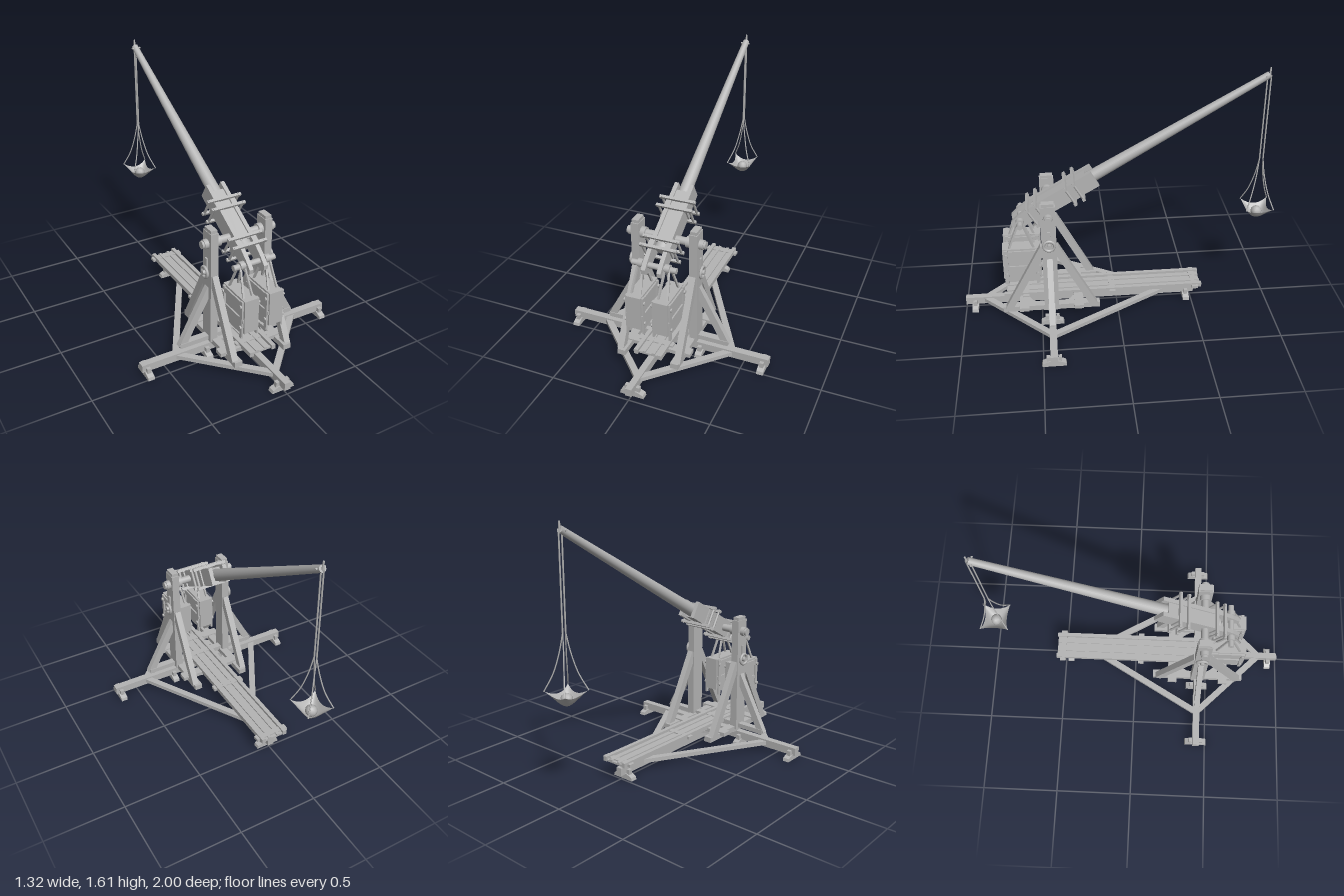
import * as THREE from 'three';

const timber = new THREE.MeshStandardMaterial({ color: 0xb4b4b4 });
timber.name = 'grey';
timber.side = THREE.DoubleSide;
const V = (x, y, z) => new THREE.Vector3(x, y, z);
const CZ = 0.435; // z of the posts and pivot
const SIDES = [-1, 1];

export function createModel() {
  const root = new THREE.Group();
  root.name = 'trebuchet';

  const add = (name, geo, x = 0, y = 0, z = 0, parent = root) => {
    const m = new THREE.Mesh(geo, timber);
    m.name = name;
    m.position.set(x, y, z);
    parent.add(m);
    return m;
  };
  const box = (name, w, h, d, x, y, z, parent) =>
    add(name, new THREE.BoxGeometry(w, h, d), x, y, z, parent);
  // Square beam between two points
  const beam = (name, a, b, w, h) => {
    const c = a.clone().add(b).multiplyScalar(0.5);
    const m = box(name, w, h, a.distanceTo(b), c.x, c.y, c.z);
    m.lookAt(b);
    return m;
  };
  // Round bar along x
  const pin = (name, r, len, x, y, z, parent) => {
    const m = add(name, new THREE.CylinderGeometry(r, r, len, 16), x, y, z, parent);
    m.rotation.z = Math.PI / 2;
    return m;
  };
  const rope = (name, pts, r = 0.004) =>
    add(name, new THREE.TubeGeometry(new THREE.CatmullRomCurve3(pts), 14, r, 6));
  // Plate cut from a (z, y) outline, thickness along x
  const plate = (name, pts, t, x, y, z, parent) => {
    const s = new THREE.Shape(pts.map(([a, b]) => new THREE.Vector2(-a, b)));
    const g = new THREE.ExtrudeGeometry(s, { depth: t, bevelEnabled: false });
    g.translate(0, 0, -t / 2).rotateY(Math.PI / 2);
    return add(name, g, x, y, z, parent);
  };

  // Ground cross
  box('crossBeam', 1.32, 0.05, 0.045, 0, 0.055, CZ);
  box('longBeam', 0.04, 0.05, 1.52, 0, 0.055, 0.24);
  for (const s of SIDES) {
    beam('frontGroundBrace', V(s * 0.44, 0.057, 0.42), V(0, 0.057, 0.87), 0.04, 0.026);
    beam('rearGroundBrace', V(s * 0.43, 0.057, 0.44), V(0, 0.057, -0.31), 0.04, 0.026);
  }

  // Tapered feet with pegs
  const footShape = [[-0.075, 0], [0.075, 0], [0.07, 0.02], [0.035, 0.035], [-0.035, 0.035], [-0.07, 0.02]];
  const foot = (x, z, turn) => {
    const g = new THREE.Group();
    g.name = 'foot';
    plate('footBlock', footShape, 0.042, 0, 0, 0, g);
    for (const s of SIDES) box('footPeg', 0.025, 0.035, 0.022, 0, 0.045, s * 0.035, g);
    g.position.set(x, 0, z);
    if (turn) g.rotation.y = Math.PI / 2;
    root.add(g);
  };
  for (const s of SIDES) {
    foot(s * 0.625, CZ, false);
    foot(s * 0.225, CZ, false);
  }
  foot(0, 0.94, true);
  foot(0, -0.465, true);

  // Turntable ring
  const ring = new THREE.Shape().absarc(0, 0, 0.195, 0, Math.PI * 2);
  ring.holes.push(new THREE.Path().absarc(0, 0, 0.155, 0, Math.PI * 2));
  const ringGeo = new THREE.ExtrudeGeometry(ring, { depth: 0.016, bevelEnabled: false, curveSegments: 24 });
  add('turntableRing', ringGeo.rotateX(-Math.PI / 2), 0, 0.076, CZ);

  // Upper frame
  box('frameCrossBeam', 0.8, 0.03, 0.045, 0, 0.122, CZ);
  for (const z of [0.26, 0.61]) box('frameSleeper', 0.46, 0.025, 0.06, 0, 0.115, z);
  for (const s of SIDES) {
    const x = s * 0.185;
    box('frameRail', 0.05, 0.035, 0.62, s * 0.172, 0.102, CZ);
    box('post', 0.05, 0.75, 0.092, x, 0.475, CZ);
    box('postCap', 0.042, 0.02, 0.078, x, 0.86, CZ);
    beam('sideStrut', V(s * 0.39, 0.11, CZ), V(s * 0.195, 0.475, CZ), 0.036, 0.045);
    for (const d of SIDES)
      beam('postBrace', V(x, 0.105, CZ + d * 0.275), V(x, 0.565, CZ + d * 0.035), 0.04, 0.045);

    // Cleat ring and pin on each post
    const cleat = add('cleatRing', new THREE.TorusGeometry(0.034, 0.009, 8, 20), s * 0.226, 0.587, CZ);
    cleat.rotation.y = Math.PI / 2;
    pin('cleatBoss', 0.014, 0.04, s * 0.222, 0.587, CZ);
    box('cleatPin', 0.014, 0.12, 0.02, s * 0.213, 0.62, CZ);

    // Axle ends
    pin('axleCollar', 0.03, 0.03, s * 0.222, 0.775, CZ);
    pin('axleBush', 0.035, 0.03, s * 0.145, 0.775, CZ);
  }
  pin('axle', 0.024, 0.5, 0, 0.775, CZ);

  // Launching trough
  box('troughFloor', 0.13, 0.012, 1.28, 0, 0.124, 0.085);
  for (const s of SIDES) {
    box('troughRail', 0.026, 0.03, 1.3, s * 0.077, 0.132, 0.09);
    box('troughStrip', 0.02, 0.01, 1.28, s * 0.03, 0.133, 0.085);
  }
  for (const z of [0.6, 0.035, -0.515]) box('troughTie', 0.22, 0.018, 0.04, 0, 0.128, z);

  // Throwing arm, its long end pointing along local -z
  const arm = new THREE.Group();
  arm.name = 'throwingArm';
  arm.position.set(0, 0.775, CZ);
  arm.rotation.x = THREE.MathUtils.degToRad(30.4);
  root.add(arm);
  const log = new THREE.CylinderGeometry(0.021, 0.046, 1.65, 24).rotateX(-Math.PI / 2);
  add('armLog', log, 0, 0, -0.735, arm);
  pin('tipHook', 0.006, 0.06, 0, 0.005, -1.54, arm);
  const prong = add('tipProng', new THREE.CylinderGeometry(0.005, 0.008, 0.06, 8), 0, 0.012, -1.57, arm);
  prong.rotation.x = -0.6;
  const cheek = [[-0.345, -0.055], [-0.345, 0.055], [0.1, 0.055], [0.19, 0.042], [0.25, 0.025],
    [0.262, 0], [0.252, -0.022], [0.21, -0.042], [0.12, -0.04], [0.06, -0.055]];
  for (const s of SIDES) plate('armCheek', cheek, 0.026, s * 0.049, 0, 0, arm);
  box('armFiller', 0.075, 0.09, 0.36, 0, 0, -0.12, arm);
  for (const z of [0.08, -0.195]) {
    for (const dz of SIDES)
      for (const dy of SIDES) box('clampBar', 0.23, 0.018, 0.018, 0, dy * 0.061, z + dz * 0.03, arm);
    for (const s of SIDES) {
      box('clampPlate', 0.01, 0.11, 0.05, s * 0.066, 0, z, arm);
      for (const dz of SIDES)
        add('clampBolt', new THREE.CylinderGeometry(0.008, 0.008, 0.145, 8), s * 0.1, 0, z + dz * 0.03, arm);
    }
  }
  pin('weightPin', 0.018, 0.28, 0, 0.005, 0.2, arm);

  // Twin counterweights hanging from the pin
  const PZ = 0.61;
  const boxShape = [[-0.12, 0.515], [0.12, 0.515], [0.12, 0.295], [0.06, 0.278], [0, 0.272], [-0.06, 0.278], [-0.12, 0.295]];
  for (const s of SIDES) {
    const x = s * 0.085;
    plate('weightBox', boxShape, 0.09, x, 0, PZ, root);
    for (const d of SIDES) {
      for (const dz of SIDES) {
        box('weightPost', 0.012, 0.25, 0.022, x + d * 0.052, 0.385, PZ + dz * 0.098);
        pin('weightBolt', 0.011, 0.014, x + d * 0.06, 0.475, PZ + dz * 0.098);
        pin('weightBolt', 0.011, 0.014, x + d * 0.06, 0.335, PZ + dz * 0.098);
        beam('hanger', V(x + d * 0.03, 0.505, PZ + dz * 0.08), V(x + d * 0.012, 0.69, PZ + dz * 0.008), 0.012, 0.012);
      }
      box('weightBand', 0.01, 0.035, 0.22, x + d * 0.05, 0.485, PZ);
      box('weightBand', 0.01, 0.022, 0.23, x + d * 0.049, 0.38, PZ);
    }
    pin('hangerEye', 0.026, 0.03, x, 0.682, PZ);
  }

  // Sling ropes
  const SZ = -0.91;
  for (const d of SIDES) {
    rope('slingRope', [V(0, 1.56, SZ + d * 0.011), V(0, 1.28, SZ + d * 0.011), V(0, 1.01, SZ + d * 0.011)], 0.005);
    for (const s of SIDES)
      rope('pouchRope', [V(0, 1.01, SZ + d * 0.011), V(s * 0.018, 0.9, SZ + d * 0.025),
        V(s * 0.045, 0.78, SZ + d * 0.052), V(s * 0.085, 0.68, SZ + d * 0.088)]);
  }

  // Sling pouch: a square cloth with drawn-in edges, sagging in the middle
  const cloth = new THREE.PlaneGeometry(2, 2, 12, 12);
  const p = cloth.attributes.position;
  for (let i = 0; i < p.count; i++) {
    const u = p.getX(i), v = p.getY(i);
    p.setXYZ(i, u * (0.085 - 0.018 * (1 - v * v)),
      0.592 + 0.12 * (1 - (1 - 0.5 * u * u) * (1 - 0.5 * v * v)),
      -v * (0.088 - 0.018 * (1 - u * u)));
  }
  cloth.computeVertexNormals();
  add('slingPouch', cloth, 0, 0, SZ);
  add('shot', new THREE.IcosahedronGeometry(0.036, 1), 0, 0.632, SZ);

  return root;
}
